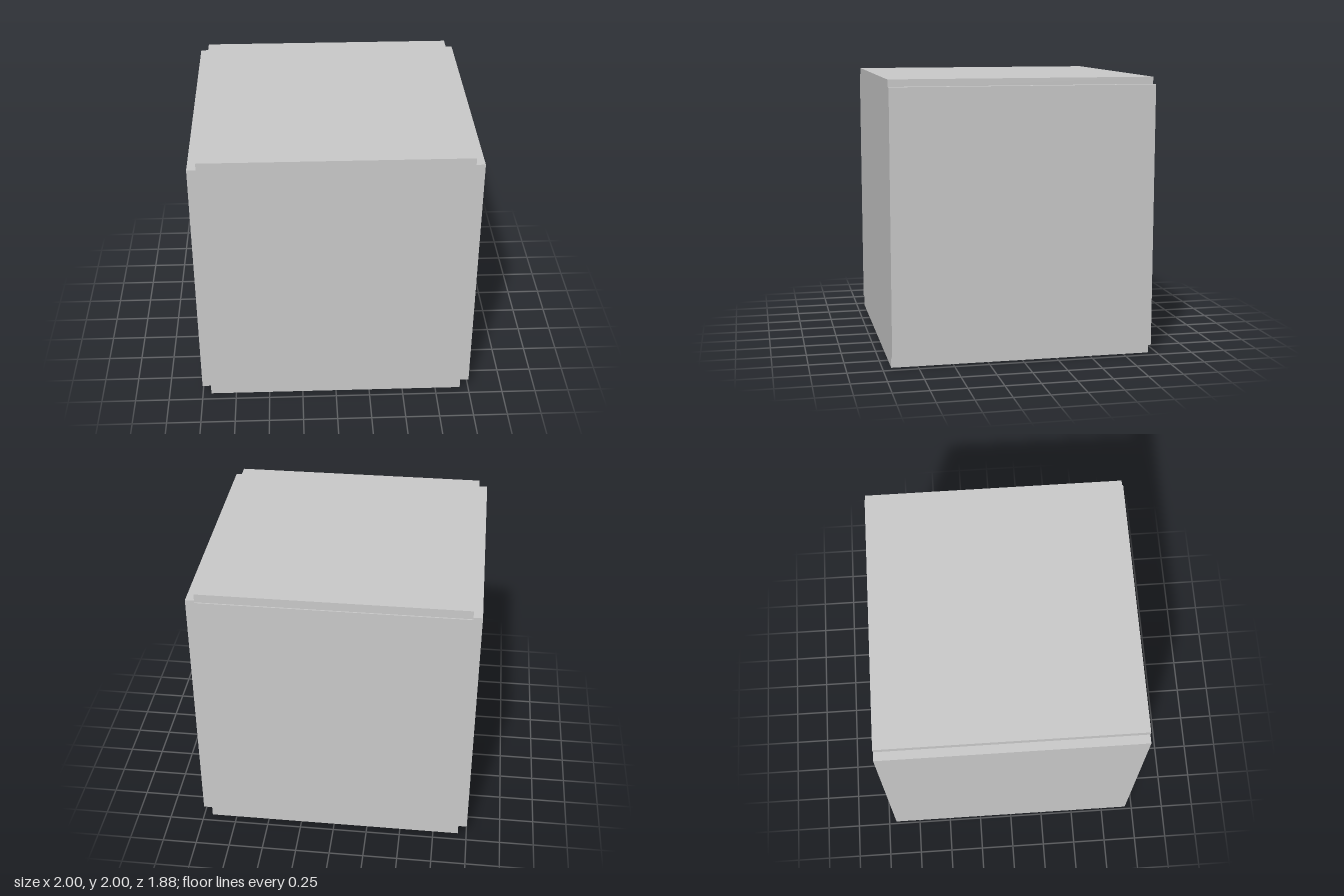
import * as THREE from 'three';

const T = 0.0625; // panel thickness
const S = 1.875;  // panel side length

export function createModel() {
  const group = new THREE.Group();
  const material = new THREE.MeshStandardMaterial({ color: 0xcccccc, flatShading: true });

  const panel = (name, size, position) => {
    const mesh = new THREE.Mesh(new THREE.BoxGeometry(...size), material);
    mesh.name = name;
    mesh.position.set(...position);
    group.add(mesh);
  };

  // Floor and lid, each one panel thick
  panel('bottomPanel', [S, T, S], [0, T / 2, 0]);
  panel('topPanel', [S, T, S], [0, 2 - T / 2, 0]);

  // Front and back walls stand between floor and lid; the back leaves a hairline gap under the lid
  const gap = 0.006;
  panel('frontPanel', [S, S, T], [0, 1, S / 2 - T / 2]);
  panel('backPanel', [S, S - gap, T], [0, 1 - gap / 2, -S / 2 + T / 2]);

  // Side walls sit outside, raised slightly to leave a slot above the floor
  for (const [name, side] of [['leftPanel', 1], ['rightPanel', -1]]) {
    panel(name, [T, S, S], [side * (1 - T / 2), 1.0125, 0]);
  }

  return group;
}
